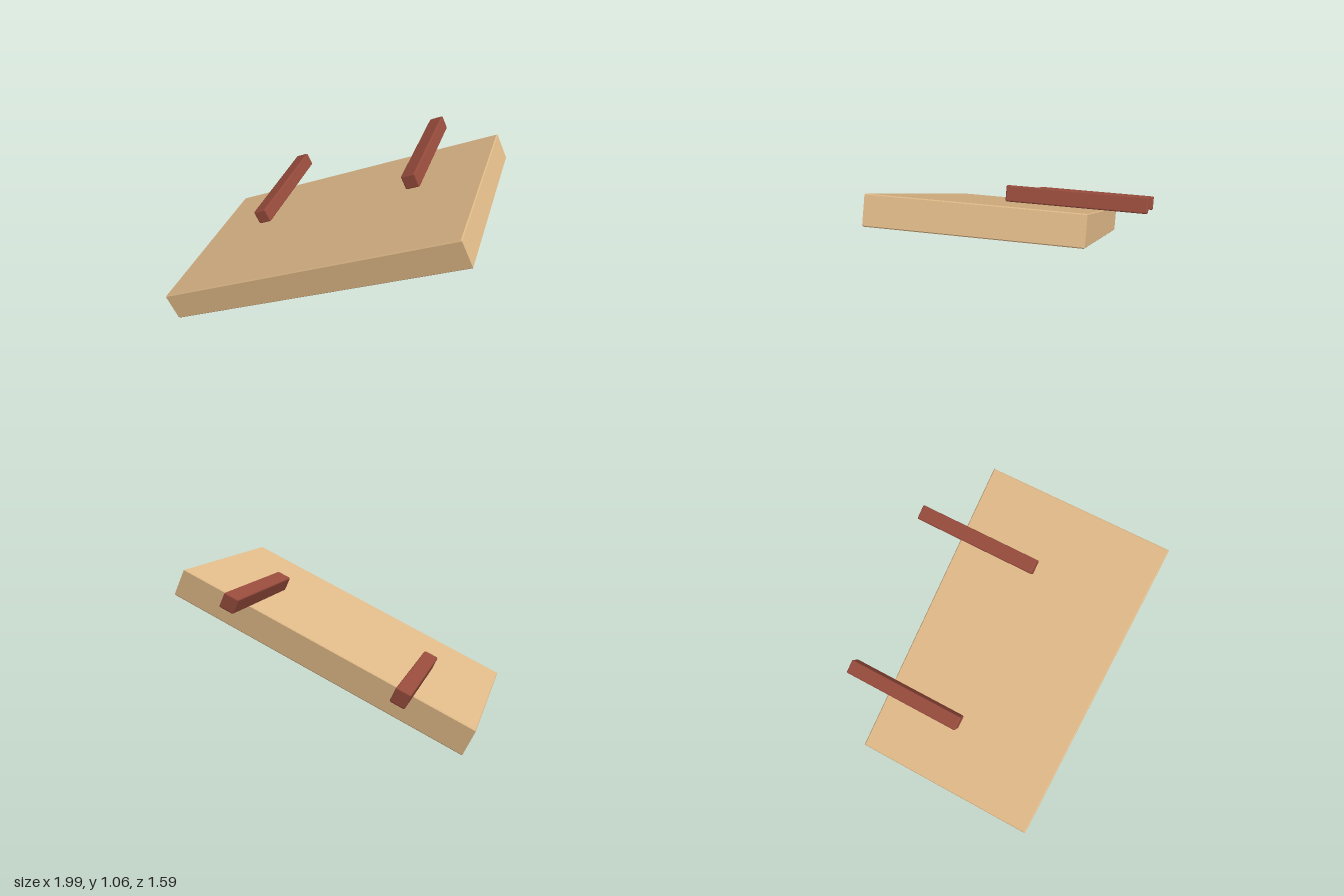
import * as THREE from 'three';
import { RoundedBoxGeometry } from 'three/addons/geometries/RoundedBoxGeometry.js';

// Skins a stack of rectangles [halfX, y, halfZ], from the top, round the rim and into the recess
function rectLoft(loops) {
  const corners = [[1, 1], [1, -1], [-1, -1], [-1, 1]];
  const at = ([hx, y, hz], i) => [corners[i % 4][0] * hx, y, corners[i % 4][1] * hz];
  const pos = [];
  for (let k = 0; k < loops.length - 1; k++) {
    for (let i = 0; i < 4; i++) {
      const a = at(loops[k], i), b = at(loops[k], i + 1);
      const c = at(loops[k + 1], i), d = at(loops[k + 1], i + 1);
      pos.push(...a, ...c, ...d, ...a, ...d, ...b);
    }
  }
  const geo = new THREE.BufferGeometry();
  geo.setAttribute('position', new THREE.Float32BufferAttribute(pos, 3));
  geo.computeVertexNormals();
  return geo;
}

export function createModel() {
  const root = new THREE.Group();
  const tilted = new THREE.Group();
  tilted.name = 'tiltedBoard';
  tilted.position.y = 0.533;
  tilted.rotation.z = THREE.MathUtils.degToRad(25);
  root.add(tilted);

  const wood = new THREE.MeshStandardMaterial({ color: 0xdeb887 });
  const darkWood = new THREE.MeshStandardMaterial({ color: 0x964b3c });
  const grey = new THREE.MeshStandardMaterial({ color: 0xcccccc });

  const add = (name, geo, mat, x, y, z) => {
    const mesh = new THREE.Mesh(geo, mat);
    mesh.name = name;
    mesh.position.set(x, y, z);
    tilted.add(mesh);
  };

  // Wooden tray, open underneath, with slightly eased edges
  const X = 1.059, Z = 0.64, T = 0.095, e = 0.006, rimX = 0.047, rimZ = 0.053, floor = -0.04;
  add('frame', rectLoft([
    [0, T, 0],
    [X - e, T, Z - e],
    [X, T - e, Z],
    [X, -T + e, Z],
    [X - e, -T, Z - e],
    [X - rimX + e, -T, Z - rimZ + e],
    [X - rimX, -T + e, Z - rimZ],
    [X - rimX, floor, Z - rimZ],
    [0, floor, 0],
  ]), wood, 0, 0, 0.15);

  // Panel set into the recess
  add('panel', new THREE.BoxGeometry(2 * (X - rimX), 0.01, 2 * (Z - rimZ)), grey, 0, -0.045, 0.15);

  // Two bars on the upper face, reaching out past the back
  for (const [name, x] of [['lowerBar', -0.581], ['upperBar', 0.586]]) {
    add(name, new RoundedBoxGeometry(0.1, 0.1, 0.86, 2, 0.01), darkWood, x, 0.16, -0.365);
  }
  return root;
}
